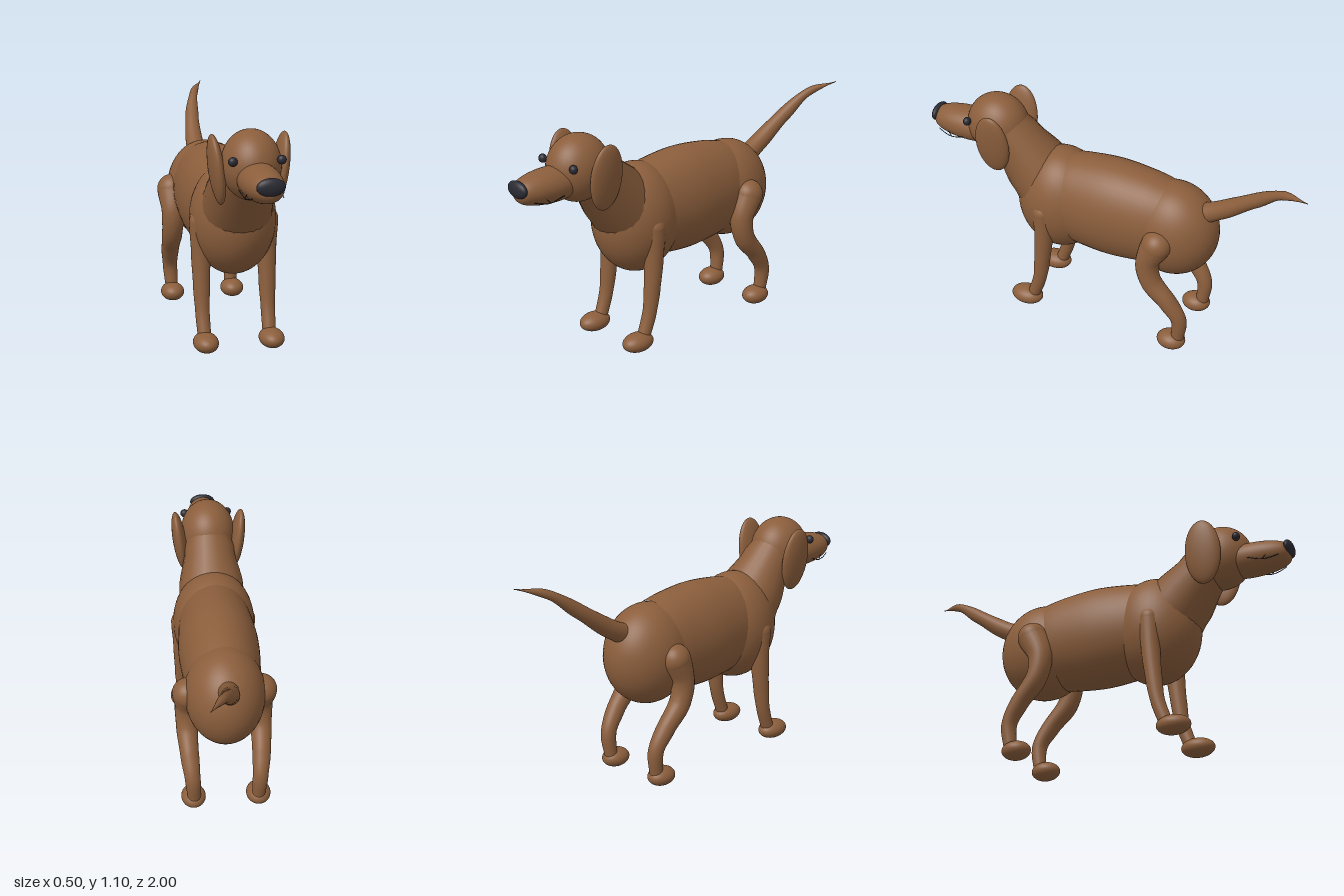
import * as THREE from 'three';

export function createModel() {
  const dog = new THREE.Group();
  dog.name = 'dog';

  const fur = new THREE.MeshStandardMaterial({ color: 0x8b5e3c });
  fur.name = 'brownFur';
  const dark = new THREE.MeshStandardMaterial({ color: 0x2a2a33 });
  dark.name = 'darkNose';

  const add = (name, geometry, material = fur, parent = dog) => {
    const mesh = new THREE.Mesh(geometry, material);
    mesh.name = name;
    parent.add(mesh);
    return mesh;
  };

  // Ellipsoid from centre and radii
  const ellipsoid = (name, centre, radii, material = fur, parent = dog) => {
    const mesh = add(name, new THREE.SphereGeometry(1, 40, 28), material, parent);
    mesh.position.set(...centre);
    mesh.scale.set(...radii);
    return mesh;
  };

  // Tapered tube through [x, y, z, radius] stations, with round ends
  const limb = (name, stations, parent = dog) => {
    const group = new THREE.Group();
    group.name = name;
    parent.add(group);
    const curve = new THREE.CatmullRomCurve3(stations.map(s => new THREE.Vector3(s[0], s[1], s[2])));
    const steps = 40, sides = 24;
    const geometry = new THREE.TubeGeometry(curve, steps, 1, sides, false);
    const pos = geometry.attributes.position;
    const v = new THREE.Vector3();
    for (let i = 0; i <= steps; i++) {
      const t = curve.getUtoTmapping(i / steps) * (stations.length - 1);
      const k = Math.min(Math.floor(t), stations.length - 2);
      const f = THREE.MathUtils.smoothstep(t - k, 0, 1);
      const r = THREE.MathUtils.lerp(stations[k][3], stations[k + 1][3], f);
      const c = curve.getPointAt(i / steps);
      for (let j = 0; j <= sides; j++) {
        const n = i * (sides + 1) + j;
        v.fromBufferAttribute(pos, n).sub(c).multiplyScalar(r).add(c);
        pos.setXYZ(n, v.x, v.y, v.z);
      }
    }
    add(name + 'Tube', geometry, fur, group);
    for (const [x, y, z, r] of [stations[0], stations[stations.length - 1]]) {
      ellipsoid(name + 'End', [x, y, z], [r, r, r], fur, group);
    }
    return group;
  };

  // Revolved [radius, z] profile lying along z, with its width scaled
  const barrel = (name, profile, y, width) => {
    const smooth = new THREE.SplineCurve(profile.map(p => new THREE.Vector2(...p))).getPoints(32);
    smooth.forEach(p => { p.x = Math.max(p.x, 0); });
    const geometry = new THREE.LatheGeometry(smooth, 48);
    geometry.scale(width, 1, 1);
    geometry.rotateX(Math.PI / 2);
    add(name, geometry).position.y = y;
  };

  // Torso
  barrel('belly', [[0.225, -0.28], [0.245, -0.18], [0.26, 0], [0.245, 0.18], [0.225, 0.28]], 0.64, 0.76);
  ellipsoid('chest', [0, 0.617, 0.29], [0.205, 0.272, 0.222]);
  ellipsoid('hips', [0, 0.617, -0.31], [0.192, 0.247, 0.23]);

  // Neck and head
  limb('neck', [[0, 0.66, 0.34, 0.18], [0, 0.75, 0.42, 0.162], [0, 0.885, 0.535, 0.128], [0, 0.95, 0.59, 0.11]]);
  ellipsoid('head', [0, 0.946, 0.635], [0.135, 0.16, 0.156]);
  barrel('muzzle', [[0.07, 0.66], [0.081, 0.76], [0.08, 0.84], [0.07, 0.91], [0.053, 0.96], [0.03, 0.98], [0, 0.985]], 0.903, 1.14);
  ellipsoid('nose', [0, 0.922, 0.976], [0.064, 0.04, 0.024], dark);

  // Tail, sweeping up and to one side
  limb('tail', [
    [0, 0.74, -0.45, 0.05], [0, 0.80, -0.56, 0.045], [0.02, 0.915, -0.72, 0.035],
    [0.06, 1.015, -0.86, 0.021], [0.125, 1.056, -0.997, 0.002],
  ]);

  // Paired parts
  for (const s of [1, -1]) {
    const side = s > 0 ? 'left' : 'right';

    const ear = ellipsoid(side + 'Ear', [s * 0.147, 0.92, 0.59], [0.034, 0.162, 0.09]);
    ear.rotation.z = -s * 0.13;
    ellipsoid(side + 'Eye', [s * 0.11, 0.987, 0.748], [0.021, 0.021, 0.019], dark);

    // Thin mouth line with a small crease at its corner
    const line = (name, pts) => add(name, new THREE.TubeGeometry(
      new THREE.CatmullRomCurve3(pts.map(p => new THREE.Vector3(s * p[0], p[1], p[2]))), 16, 0.002, 6), dark);
    line(side + 'Mouth', [[0.068, 0.868, 0.94], [0.078, 0.856, 0.90], [0.085, 0.852, 0.86], [0.094, 0.872, 0.79]]);
    line(side + 'MouthCrease', [[0.085, 0.852, 0.86], [0.082, 0.862, 0.87], [0.08, 0.874, 0.88]]);

    limb(side + 'FrontLeg', [
      [s * 0.16, 0.61, 0.315, 0.054], [s * 0.16, 0.46, 0.318, 0.046],
      [s * 0.16, 0.30, 0.332, 0.040], [s * 0.16, 0.18, 0.35, 0.034], [s * 0.158, 0.06, 0.39, 0.032],
    ]);
    ellipsoid(side + 'FrontPaw', [s * 0.16, 0.05, 0.425], [0.06, 0.046, 0.084]);

    limb(side + 'HindLeg', [
      [s * 0.175, 0.625, -0.30, 0.074], [s * 0.178, 0.51, -0.255, 0.058],
      [s * 0.18, 0.40, -0.275, 0.052], [s * 0.174, 0.29, -0.365, 0.045],
      [s * 0.165, 0.19, -0.422, 0.038], [s * 0.158, 0.06, -0.415, 0.032],
    ]);
    ellipsoid(side + 'HindPaw', [s * 0.16, 0.05, -0.383], [0.06, 0.046, 0.073]);
  }

  return dog;
}
